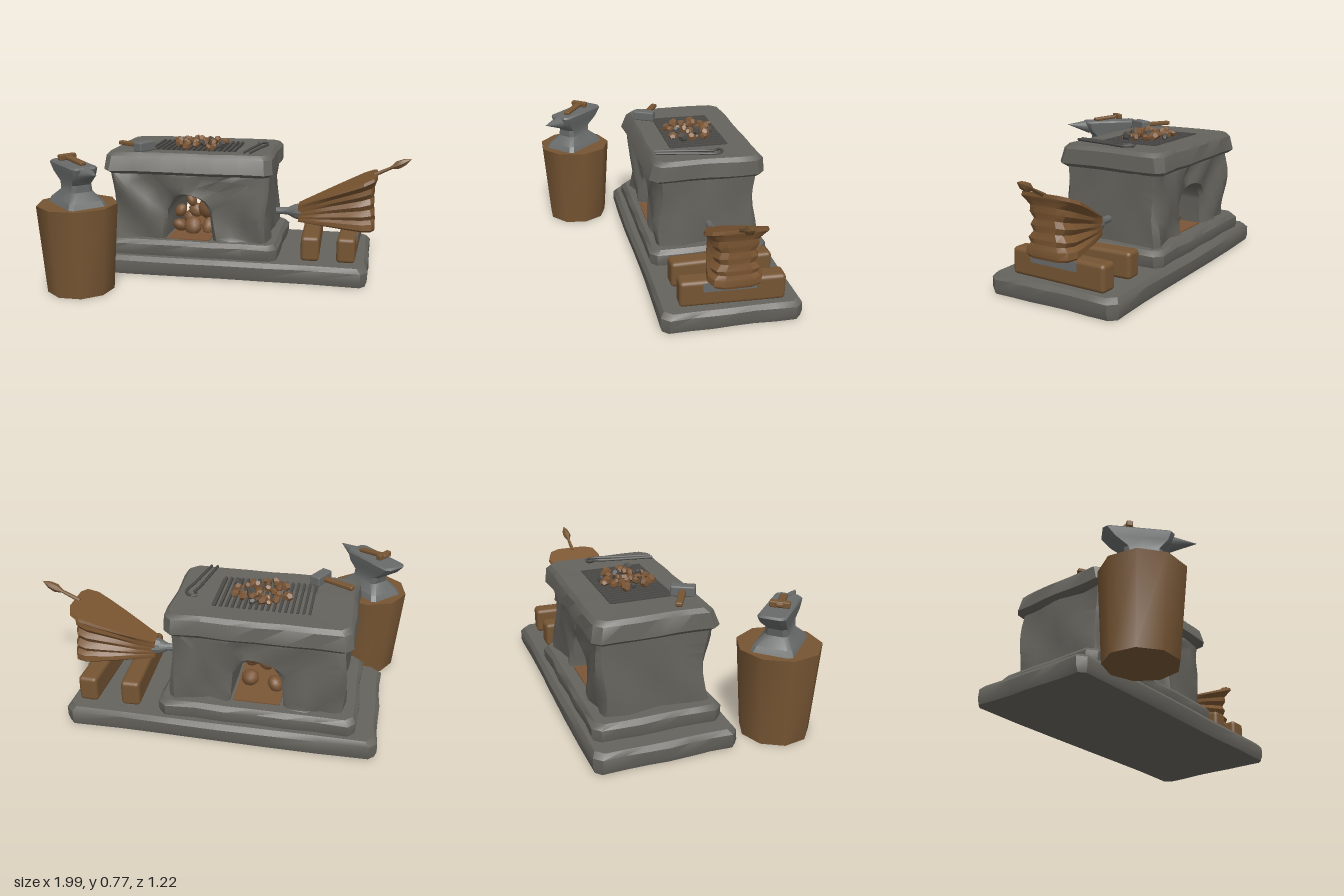
import * as THREE from 'three';
import { toCreasedNormals } from 'three/addons/utils/BufferGeometryUtils.js';
import { RoundedBoxGeometry } from 'three/addons/geometries/RoundedBoxGeometry.js';

const mat = (name, color) => {
  const m = new THREE.MeshStandardMaterial({ color });
  m.name = name;
  return m;
};

let seed = 7;
const rand = (a = 0, b = 1) => {
  seed = (seed * 16807) % 2147483647;
  return a + (b - a) * (seed / 2147483647);
};
const lerp = THREE.MathUtils.lerp;

// Hand-hewn unevenness, the same wherever two points coincide
function rough([x, y, z], k) {
  return [
    x + k * Math.sin(11 * y + 17 * z + 5 * x),
    y + k * 0.4 * Math.sin(13 * x + 9 * z),
    z + k * Math.sin(19 * x + 14 * y + 3 * z),
  ];
}

// Skin through rings of equal point count; optional end caps, or joined end to start
function loft(rings, { closed = false, caps = true, crease = 0.6 } = {}) {
  const n = rings[0].length, pos = rings.flat(2), idx = [];
  const spans = closed ? rings.length : rings.length - 1;
  for (let r = 0; r < spans; r++) {
    const a = r * n, b = ((r + 1) % rings.length) * n;
    for (let i = 0; i < n; i++) {
      const j = (i + 1) % n;
      idx.push(a + i, a + j, b + j, a + i, b + j, b + i);
    }
  }
  if (caps && !closed) {
    [0, rings.length - 1].forEach((r, end) => {
      const c = pos.length / 3;
      for (let k = 0; k < 3; k++) pos.push(rings[r].reduce((s, p) => s + p[k], 0) / n);
      for (let i = 0; i < n; i++) {
        const p = r * n + i, q = r * n + ((i + 1) % n);
        if (end) idx.push(c, p, q); else idx.push(c, q, p);
      }
    });
  }
  const g = new THREE.BufferGeometry();
  g.setAttribute('position', new THREE.Float32BufferAttribute(pos, 3));
  g.setIndex(idx);
  return toCreasedNormals(g, crease);
}

// Horizontal rectangle ring with clipped corners
function rectRing(x0, x1, z0, z1, y, c = 0.03, k = 0, steps = 6) {
  const ends = [
    [x1, z1 - c, x1, z0 + c], [x1 - c, z0, x0 + c, z0],
    [x0, z0 + c, x0, z1 - c], [x0 + c, z1, x1 - c, z1],
  ];
  return ends.flatMap(([ax, az, bx, bz]) => Array.from({ length: steps + 1 }, (_, i) =>
    rough([lerp(ax, bx, i / steps), y, lerp(az, bz, i / steps)], k)));
}

export function createModel() {
  const root = new THREE.Group();
  root.name = 'smithForge';
  const stone = mat('stone', 0x65635d), steel = mat('steel', 0x696b6b), iron = mat('dark iron', 0x4c4b48);
  const wood = mat('wood', 0x765533), leather = mat('leather', 0x7a5531), coal = mat('coal', 0x7b5636);

  const add = (name, geo, m, parent = root, p = [0, 0, 0], r = [0, 0, 0]) => {
    const mesh = new THREE.Mesh(geo, m);
    mesh.name = name;
    mesh.position.set(...p);
    mesh.rotation.set(...r);
    parent.add(mesh);
    return mesh;
  };
  const group = (name, p = [0, 0, 0], ry = 0, parent = root) => {
    const g = new THREE.Group();
    g.name = name;
    g.position.set(...p);
    g.rotation.y = ry;
    parent.add(g);
    return g;
  };

  // Base slab and step
  const slab = (x0, x1, z0, z1, y0, y1) => loft([
    rectRing(x0 + 0.01, x1 - 0.01, z0 + 0.01, z1 - 0.01, y0, 0.03, 0.004),
    rectRing(x0, x1, z0, z1, y0 + 0.03, 0.04, 0.005),
    rectRing(x0, x1, z0, z1, y1 - 0.025, 0.04, 0.005),
    rectRing(x0 + 0.02, x1 - 0.02, z0 + 0.02, z1 - 0.02, y1, 0.04, 0.002),
  ]);
  add('baseSlab', slab(-0.9, 0.77, -0.61, 0.145, 0.004, 0.11), stone);
  add('hearthStep', slab(-0.79, 0.26, -0.57, 0.1, 0.1, 0.2), stone);

  // Forge body: a rough block with an arched tunnel from front to back
  const side = 8;
  const wallRing = (f, z, k) => { // f = 0 outer rectangle, 1 arch opening
    const pts = [];
    for (let s = 0; s < 4; s++) for (let i = 0; i < side; i++) {
      const t = i / side, bump = 0.09 * Math.pow(Math.sin(Math.PI * t), 0.6);
      const o = [[lerp(-0.71, 0.195, t), 0.19], [0.195, lerp(0.19, 0.62, t)],
        [lerp(0.195, -0.71, t), 0.62], [-0.71, lerp(0.62, 0.19, t)]][s];
      const a = [[lerp(-0.4, -0.12, t), 0.2], [lerp(-0.12, -0.135, t), lerp(0.2, 0.37, t)],
        [lerp(-0.135, -0.385, t), 0.37 + bump], [lerp(-0.385, -0.4, t), lerp(0.37, 0.2, t)]][s];
      pts.push(rough([lerp(o[0], a[0], f), lerp(o[1], a[1], f), z], k));
    }
    return pts;
  };
  const back = -0.515, front = 0.055;
  add('forgeBody', loft([
    wallRing(0, back + 0.02, 0.012), wallRing(0, -0.38, 0.016), wallRing(0, -0.22, 0.016), wallRing(0, -0.08, 0.016),
    wallRing(0, front - 0.02, 0.012), wallRing(0.1, front, 0.016), wallRing(0.35, front - 0.005, 0.02),
    wallRing(0.65, front - 0.01, 0.02), wallRing(0.93, front - 0.01, 0.01), wallRing(1, front - 0.03, 0.003),
    wallRing(1, -0.23, 0.003), wallRing(1, back + 0.03, 0.003), wallRing(0.93, back + 0.01, 0.01),
    wallRing(0.65, back + 0.01, 0.02), wallRing(0.35, back + 0.005, 0.02), wallRing(0.1, back, 0.016),
  ], { closed: true, crease: 0.8 }), stone);

  // Top slab with a shallow fire pit
  add('forgeTop', loft([
    rectRing(-0.72, 0.2, -0.53, 0.07, 0.585, 0.03, 0.003),
    rectRing(-0.745, 0.225, -0.55, 0.098, 0.605, 0.04, 0.005),
    rectRing(-0.735, 0.22, -0.54, 0.07, 0.685, 0.04, 0.005),
    rectRing(-0.715, 0.2, -0.52, 0.05, 0.707, 0.04, 0.003),
    rectRing(-0.52, 0, -0.395, -0.06, 0.705, 0.01),
    rectRing(-0.515, -0.005, -0.39, -0.065, 0.665, 0.01),
  ]), stone);

  // Grate
  const grate = group('grate');
  for (let i = 0; i < 17; i++) {
    add('grateBar', new THREE.BoxGeometry(0.013, 0.016, 0.335), iron, grate, [-0.505 + i * 0.0306, 0.703, -0.228]);
  }

  // Coals: a heap on the grate and larger lumps in the tunnel
  const lump = (name, parent, p, r, m, detail) => {
    const geo = detail ? toCreasedNormals(new THREE.IcosahedronGeometry(r, 1), 0.7) : new THREE.DodecahedronGeometry(r, 0);
    const c = add(name, geo, m, parent, p, [rand(0, 3), rand(0, 3), rand(0, 3)]);
    c.scale.set(rand(0.85, 1.2), rand(0.65, 0.9), rand(0.8, 1.1));
  };
  const heap = group('topCoals');
  for (let i = 0; i < 30; i++) {
    const a = i * 2.4, d = Math.sqrt((i + 0.5) / 30);
    lump('coal', heap, [-0.24 + 0.16 * d * Math.cos(a), rand(0.718, 0.742) - 0.008 * d, -0.225 + 0.14 * d * Math.sin(a)],
      rand(0.016, 0.031), i % 6 === 5 ? iron : coal, 0);
  }
  const pile = group('tunnelCoals');
  [[-0.365, 0.31, -0.2, 0.042], [-0.3, 0.375, -0.22, 0.045], [-0.19, 0.335, -0.2, 0.066], [-0.28, 0.305, -0.25, 0.045],
    [-0.35, 0.24, -0.12, 0.045], [-0.265, 0.245, -0.1, 0.05], [-0.175, 0.24, -0.13, 0.048], [-0.34, 0.235, -0.34, 0.045],
    [-0.2, 0.25, -0.33, 0.052]].forEach(([x, y, z, r]) => lump('coalLump', pile, [x, y, z], r, coal, 1));
  add('emberBed', new THREE.BoxGeometry(0.25, 0.008, 0.54), coal, root, [-0.26, 0.202, -0.22]);

  // Hammer lying on the forge
  const hammer = group('hammer', [-0.525, 0.732, -0.015], -0.5);
  add('hammerHead', new RoundedBoxGeometry(0.06, 0.055, 0.125, 2, 0.008), steel, hammer);
  add('hammerHandle', new RoundedBoxGeometry(0.19, 0.024, 0.035, 2, 0.008), wood, hammer, [-0.11, 0, 0]);

  // Tongs: two bent arms crossing near the jaws
  const tongs = group('tongs', [0.1, 0.718, -0.15]);
  [[[-0.045, 0.19], [0, -0.09], [0.012, -0.13], [-0.012, -0.165], [0.015, -0.18]],
    [[-0.01, 0.19], [0.03, -0.02], [0.055, -0.12], [0.045, -0.165], [0.015, -0.18]]].forEach((p) => {
    const path = new THREE.CatmullRomCurve3(p.map(([x, z]) => new THREE.Vector3(x, 0, z)));
    add('tongArm', new THREE.TubeGeometry(path, 16, 0.008, 6), iron, tongs);
  });

  // Stump with anvil
  const station = group('anvilStation', [-0.785, 0, 0.4]);
  add('stump', toCreasedNormals(new THREE.CylinderGeometry(0.218, 0.183, 0.485, 9), 0.75), wood, station, [0, 0.2425, 0], [0, 0.35, 0]);
  const anvil = group('anvil', [0, 0, 0], -Math.PI / 4, station);
  const level = (a, b, w, y) => rectRing(a, b, -w, w, y, 0.02, 0, 2);
  add('anvilBody', loft([
    level(-0.16, 0.16, 0.11, 0.48), level(-0.14, 0.14, 0.095, 0.515), level(-0.09, 0.09, 0.06, 0.56),
    level(-0.1, 0.09, 0.055, 0.6), level(-0.165, 0.13, 0.065, 0.645), level(-0.205, 0.145, 0.07, 0.692),
    level(-0.195, 0.14, 0.062, 0.702),
  ]), steel, anvil);
  const horn = add('anvilHorn', new THREE.ConeGeometry(0.045, 0.15, 10), steel, anvil, [0.19, 0.672, 0], [0, 0, -Math.PI / 2 + 0.12]);
  horn.scale.z = 1.1;

  // Small hammer on the anvil
  const small = group('smallHammer', [-0.025, 0.715, -0.02], -0.65, station);
  add('smallHandle', new RoundedBoxGeometry(0.19, 0.022, 0.038, 2, 0.008), wood, small, [0.02, 0.004, 0], [0, 0, -0.1]);
  add('smallHead', new RoundedBoxGeometry(0.032, 0.032, 0.1, 2, 0.006), wood, small, [-0.05, 0.012, 0]);

  // Timber blocks under the bellows
  [[0.435, 0.03], [0.655, -0.04]].forEach(([x, ry]) =>
    add('bellowsBlock', new RoundedBoxGeometry(0.105, 0.145, 0.56, 3, 0.022), wood, root, [x, 0.178, -0.24], [0, ry, 0]));
  add('blockPatch', new THREE.BoxGeometry(0.006, 0.05, 0.28), steel, root, [0.7075, 0.215, -0.22], [0, -0.04, 0]);

  // Bellows: pleated leather fanning out from the nozzle
  const outline = [[0.35, 0.045], [0.45, 0.08], [0.55, 0.115], [0.65, 0.145], [0.73, 0.163], [0.785, 0.14], [0.805, 0.085]];
  const pleats = [[0, 0.8], [0.04, 0.88], [0.15, 0.86], [0.22, 0.72], [0.3, 0.8], [0.4, 0.62], [0.5, 0.72], [0.6, 0.6],
    [0.7, 0.74], [0.8, 0.72], [0.9, 0.92], [0.94, 1.02], [1, 0.98]];
  const rings = pleats.map(([t, s]) => {
    const point = ([x, w], sign) => {
      const u = (x - 0.35) / 0.455;
      const px = x - 0.05 * (1 - s) * u;
      return [px, lerp(lerp(0.275, 0.25, u), lerp(0.375, 0.58, u), t), -0.235 + sign * w * lerp(1, s, Math.min(1, u * 2))];
    };
    return [...outline.map((p) => point(p, 1)), ...[...outline].reverse().map((p) => point(p, -1))];
  });
  add('bellows', loft(rings, { crease: 0.5 }), leather);
  const turned = (pts, n) => toCreasedNormals(
    new THREE.LatheGeometry(pts.map(([r, y]) => new THREE.Vector2(r, y)), n), 0.6);
  add('bellowsNozzle', turned([[0, 0], [0.02, 0], [0.022, 0.07], [0.042, 0.11], [0.052, 0.15], [0, 0.16]], 10), steel,
    root, [0.215, 0.327, -0.235], [0, 0, -Math.PI / 2]);
  add('bellowsHandle', turned([[0, 0], [0.012, 0.005], [0.009, 0.11], [0.024, 0.15], [0.02, 0.19], [0, 0.235]], 6), wood,
    root, [0.78, 0.565, -0.23], [0, 0, -1.12]);

  return root;
}
